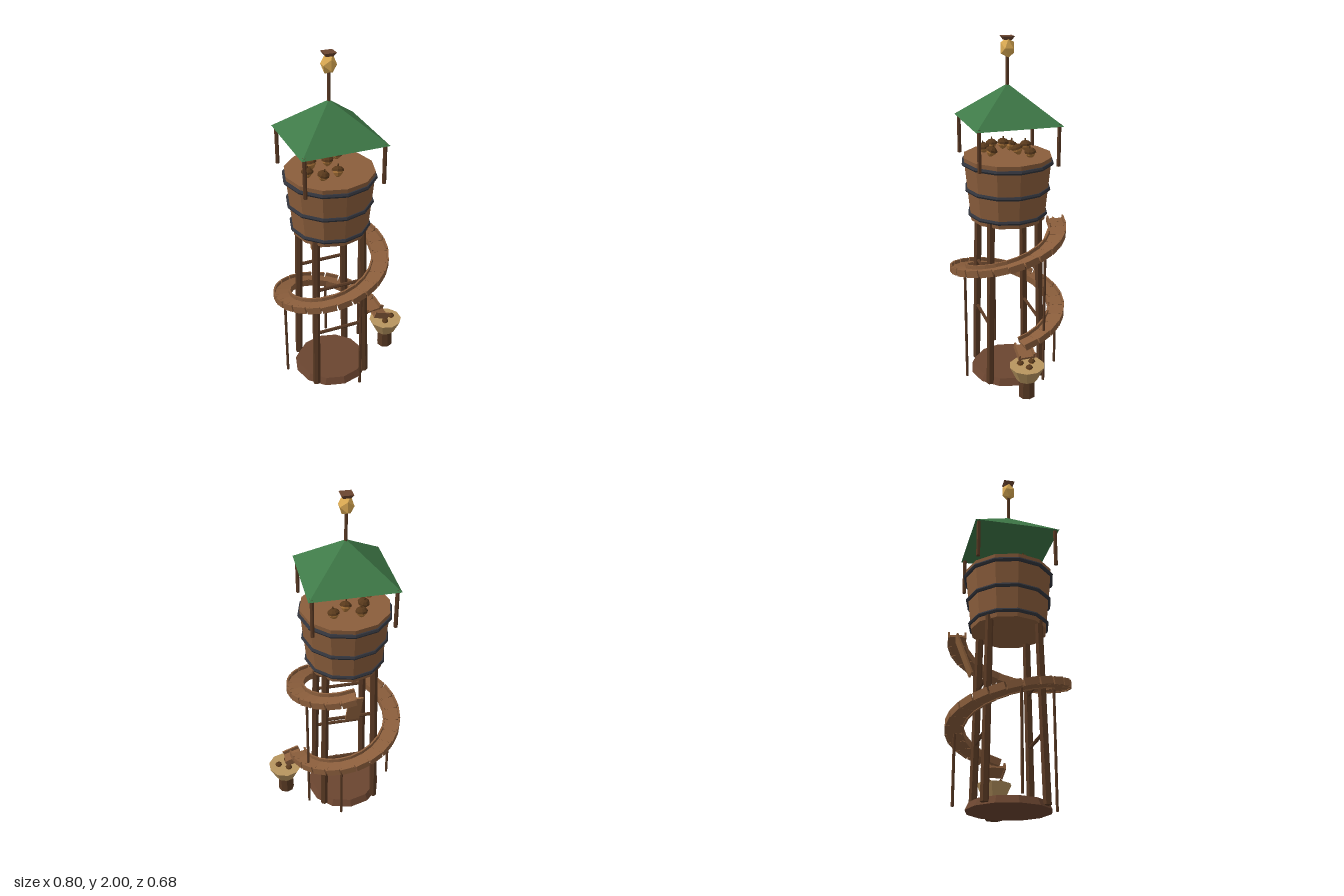
import * as THREE from 'three';

const AXIS_X = -0.065;   // the tower stands left of the model centre
const SLIDE_R = 0.285;   // centre line of the spiral slide

const mat = (color) => new THREE.MeshStandardMaterial({ color, flatShading: true });
const M = {
  plank: mat(0x8b5e3c), board: mat(0x9a6a42), dark: mat(0x5a3a24), base: mat(0x6b4530),
  iron: mat(0x33353d), roof: mat(0x3f7a48), tan: mat(0xb8955f), gold: mat(0xe0ae55),
  nut: mat(0xa87238), cap: mat(0x5a3a1c),
};

function add(parent, name, geometry, material, x = 0, y = 0, z = 0) {
  const m = new THREE.Mesh(geometry, material);
  m.name = name;
  m.position.set(x, y, z);
  parent.add(m);
  return m;
}

// Upright tapered cylinder between two heights
function column(parent, name, rBottom, rTop, y0, y1, sides, material, x = 0, z = 0) {
  return add(parent, name, new THREE.CylinderGeometry(rTop, rBottom, y1 - y0, sides), material, x, (y0 + y1) / 2, z);
}

// Round bar between two points
function bar(parent, name, a, b, r, material, sides = 6) {
  const dir = b.clone().sub(a);
  const m = add(parent, name, new THREE.CylinderGeometry(r, r, dir.length(), sides), material);
  m.position.copy(a).add(b).multiplyScalar(0.5);
  m.quaternion.setFromUnitVectors(new THREE.Vector3(0, 1, 0), dir.normalize());
  return m;
}

// Acorn: pointed nut, domed cap and stem
const nutShape = new THREE.LatheGeometry(
  [[0, -1.15], [0.45, -0.85], [0.85, -0.3], [0.88, 0.2], [0, 0.25]].map(([x, y]) => new THREE.Vector2(x, y)), 8);
const capShape = new THREE.LatheGeometry(
  [[0, 0.05], [1.08, 0.05], [1, 0.4], [0.6, 0.75], [0, 0.9]].map(([x, y]) => new THREE.Vector2(x, y)), 8);
const stemShape = new THREE.CylinderGeometry(0.12, 0.16, 0.45, 5);

function acorn(parent, x, y, z, r, tilt = 0) {
  const g = new THREE.Group();
  g.name = 'acorn';
  add(g, 'nut', nutShape, M.nut);
  add(g, 'acornCap', capShape, M.cap);
  add(g, 'acornStem', stemShape, M.cap, 0, 1.05, 0);
  g.scale.setScalar(r);
  g.position.set(x, y, z);
  g.rotation.set(tilt, x * 40, tilt * 0.7);
  parent.add(g);
}

// Trough piece: floor plus two side walls, running along local x
function trough(parent, name, length, width) {
  const g = new THREE.Group();
  g.name = name;
  add(g, 'floor', new THREE.BoxGeometry(length, 0.014, width), M.plank);
  for (const s of [-1, 1])
    add(g, 'sideWall', new THREE.BoxGeometry(length, 0.04, 0.01), M.plank, 0, 0.008, s * (width / 2 - 0.005));
  g.rotation.order = 'YXZ';
  parent.add(g);
  return g;
}

function buildFrame(tower) {
  column(tower, 'baseDisc', 0.225, 0.205, 0, 0.04, 12, M.base);
  const corner = (sx, sz, y) => {
    const d = 0.157 - 0.02 * y;
    return new THREE.Vector3(sx * d, y, sz * d);
  };
  for (const sz of [-1, 1]) {
    for (const sx of [-1, 1])
      bar(tower, 'leg', corner(sx, sz, 0.01), corner(sx, sz, 1.02), 0.022, M.dark);
    for (const y of [0.38, 0.68])
      bar(tower, 'crossBar', corner(-1, sz, y), corner(1, sz, y), 0.01, M.dark);
  }
}

function buildBarrel(tower) {
  column(tower, 'barrel', 0.213, 0.25, 0.99, 1.355, 12, M.plank);
  for (const [y, r] of [[1.025, 0.217], [1.17, 0.233], [1.32, 0.25]]) {
    const hoop = add(tower, 'hoop', new THREE.TorusGeometry(r, 0.012, 6, 12), M.iron, 0, y, 0);
    hoop.rotation.x = Math.PI / 2;
  }
  const spots = [
    [-0.145, 1.385, 0.05], [-0.08, 1.385, 0.115], [0.01, 1.385, 0.095], [0.085, 1.38, -0.105],
    [-0.06, 1.385, -0.125], [-0.09, 1.385, -0.045], [0.01, 1.385, -0.055], [-0.02, 1.418, 0.02],
  ];
  spots.forEach(([x, y, z], i) => acorn(tower, x, y, z, 0.031, 0.25 * Math.sin(i * 2.3)));
}

function buildRoof(tower) {
  const roof = add(tower, 'roof', new THREE.ConeGeometry(0.24 * Math.SQRT2, 0.2, 4), M.roof, 0, 1.65, 0);
  roof.rotation.y = Math.PI / 4;
  for (const sx of [-1, 1])
    for (const sz of [-1, 1])
      column(tower, 'roofPost', 0.011, 0.011, 1.33, 1.56, 6, M.dark, sx * 0.22, sz * 0.22);
  column(tower, 'lanternPole', 0.009, 0.009, 1.72, 1.9, 6, M.dark);
  const lantern = add(tower, 'lantern', new THREE.IcosahedronGeometry(0.043, 0), M.gold, 0, 1.938, 0);
  lantern.scale.y = 1.3;
  const lid = column(tower, 'lanternLid', 0.028, 0.046, 1.98, 2, 4, M.base);
  lid.rotation.y = Math.PI / 4;
}

function buildSlide(tower) {
  const turn = 450, step = 15;
  const heightAt = (deg) => 0.94 - 0.63 * deg / turn;
  const place = (deg) => {
    const a = (deg - 90) * Math.PI / 180;
    return [a, SLIDE_R * Math.cos(a), SLIDE_R * Math.sin(a)];
  };
  // Spiral of straight trough pieces, from the back down to the basket
  for (let d = step / 2; d < turn; d += step) {
    const [a, x, z] = place(d);
    const piece = trough(tower, 'slidePiece', 0.08, 0.1);
    piece.position.set(x, heightAt(d), z);
    piece.rotation.y = -a - Math.PI / 2;
    piece.rotation.z = -0.275;
  }
  // Thin posts under the spiral
  for (const d of [60, 165, 270, 375]) {
    const [, x, z] = place(d);
    column(tower, 'slidePost', 0.008, 0.008, 0.03, heightAt(d) - 0.005, 6, M.dark, x, z);
  }
  // Leaning board at the top of the slide
  const ramp = add(tower, 'leaningBoard', new THREE.BoxGeometry(0.08, 0.235, 0.01), M.board, 0, 0.83, -0.25);
  ramp.rotation.x = -0.37;
}

function buildBasket(group) {
  const chute = trough(group, 'exitChute', 0.1, 0.095);
  chute.position.set(0.255, 0.285, 0);
  chute.rotation.z = -0.35;
  column(group, 'pedestal', 0.048, 0.044, 0.03, 0.15, 8, M.dark, 0.305);
  column(group, 'basket', 0.06, 0.1, 0.14, 0.225, 10, M.tan, 0.305);
  for (const [x, z] of [[0.345, 0], [0.287, 0.034], [0.287, -0.034]])
    acorn(group, x, 0.232, z, 0.019);
}

export function createModel() {
  const model = new THREE.Group();
  model.name = 'acornTower';
  const tower = new THREE.Group();
  tower.name = 'tower';
  tower.position.x = AXIS_X;
  model.add(tower);
  buildFrame(tower);
  buildBarrel(tower);
  buildRoof(tower);
  buildSlide(tower);
  buildBasket(model);
  return model;
}
